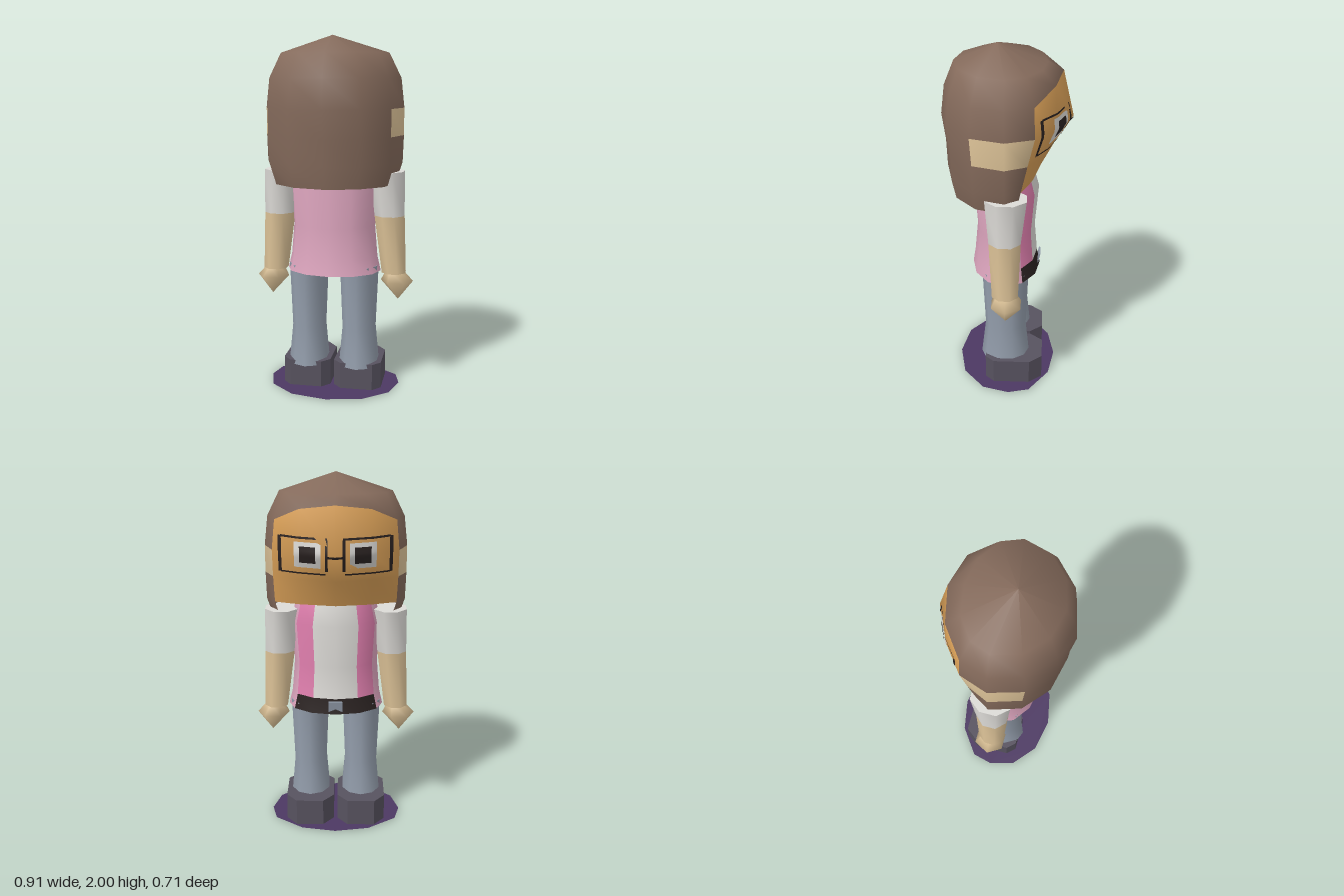
import * as THREE from 'three';

const mat = (name, color, side = THREE.FrontSide) => {
  const m = new THREE.MeshStandardMaterial({ color, side });
  m.name = name;
  return m;
};

// Ring: [y, radiusX, depthFront, depthBack, centreX, centreZ]; column 0 faces -z
const ringPoint = (n, turn = 0) => ([y, rx, zf, zb, cx = 0, cz = 0], j) => {
  const a = (j / n) * Math.PI * 2 + turn, c = Math.cos(a);
  return [cx + rx * Math.sin(a), y, cz - (c > 0 ? zf : zb) * c];
};

// Smooth skin over rings listed bottom to top; pick(row, column) gives a material index, -1 skips
function loft(name, rings, n, materials, { point = ringPoint(n), pick = () => 0, bottom = -1, top = -1 } = {}) {
  const pos = [], faces = materials.map(() => []);
  for (const r of rings) for (let j = 0; j < n; j++) pos.push(...point(r, j));
  for (let i = 0; i < rings.length - 1; i++) {
    for (let j = 0; j < n; j++) {
      const m = pick(i, j);
      if (m < 0) continue;
      const k = (j + 1) % n, a = i * n + j, b = i * n + k, c = b + n, d = a + n;
      faces[m].push(a, d, c, a, c, b);
    }
  }
  const cap = (ring, m, up) => {
    if (m < 0) return;
    const s = pos.length / 3;
    pos.push(ring[4] || 0, ring[0], ring[5] || 0);
    for (let j = 0; j < n; j++) pos.push(...point(ring, j));
    for (let j = 0; j < n; j++) {
      const p = s + 1 + j, q = s + 1 + ((j + 1) % n);
      faces[m].push(s, up ? q : p, up ? p : q);
    }
  };
  cap(rings[0], bottom, false);
  cap(rings[rings.length - 1], top, true);
  const g = new THREE.BufferGeometry();
  g.setAttribute('position', new THREE.Float32BufferAttribute(pos, 3));
  g.setIndex(faces.flat());
  let start = 0;
  faces.forEach((f, m) => { g.addGroup(start, f.length, m); start += f.length; });
  g.computeVertexNormals();
  const mesh = new THREE.Mesh(g, materials);
  mesh.name = name;
  return mesh;
}

export function createModel() {
  const model = new THREE.Group();
  model.name = 'figure';
  const hair = mat('brown hair', 0x846a5b, THREE.DoubleSide);
  const face = mat('tan face', 0xd89f57);
  const skin = mat('pale skin', 0xdcc297);
  const white = mat('white', 0xdcdad6);
  const palePink = mat('pale pink', 0xdda5be);
  const pink = mat('hot pink', 0xe07fae);
  const denim = mat('denim', 0x929caa);
  const shoe = mat('shoe grey', 0x57525f);
  const black = mat('black', 0x2b2322);
  const purple = mat('purple', 0x4c3862, THREE.DoubleSide);

  // Head: [y, radiusX, depthFront, depthBack, centreX, centreZ, depth at 30, depth at 60, front lift]
  const head = [
    [1.19, 0.345, 0.12, 0.31, 0, 0, 0.75, 0.5, 0],
    [1.31, 0.385, 0.18, 0.33, 0, 0, 0.78, 0.46, 0],
    [1.46, 0.39, 0.258, 0.335, 0, 0, 0.76, 0.45, 0],
    [1.61, 0.39, 0.352, 0.355, 0, 0, 0.74, 0.43, 0],
    [1.77, 0.372, 0.292, 0.335, 0, 0, 0.86, 0.5, 0.09],
    [1.905, 0.305, 0.21, 0.28, 0, 0, 0.866, 0.5, 0],
    [2.0, 0, 0, 0, 0, 0.05, 1, 1, 0],
  ];
  const base = ringPoint(12);
  const headPoint = (r, j) => {
    const p = base(r, j), c = Math.min(j, 12 - j);
    if (c < 3) p[2] = r[5] - r[2] * [1, r[6], r[7]][c];
    p[1] += r[8] * ([1, 0.75][c] || 0);
    return p;
  };
  const isFront = (j) => j < 2 || j > 9;
  model.add(loft('head', head, 12, [hair, face, skin], {
    point: headPoint,
    pick: (i, j) => {
      if (i === 0) return isFront(j) ? -1 : 0;
      if (i < 4 && isFront(j)) return 1;
      return i === 2 && [2, 3, 8, 9].includes(j) ? 2 : 0;
    },
  }));
  model.add(loft('chin', [head[1], head[1]], 12, [face], { point: headPoint, pick: () => -1, bottom: 0 }));

  // Depth of the face surface at (x, y)
  const faceZ = (x, y) => {
    const cols = [0, 1, 2].map((j) => {
      const pts = head.slice(1, 6).map((r) => headPoint(r, j));
      let i = 0;
      while (i < 3 && pts[i + 1][1] < y) i++;
      const t = (y - pts[i][1]) / (pts[i + 1][1] - pts[i][1]);
      return [0, 2].map((k) => pts[i][k] + t * (pts[i + 1][k] - pts[i][k]));
    });
    const ax = Math.abs(x), s = ax < cols[1][0] ? 0 : 1;
    const [p, q] = [cols[s], cols[s + 1]];
    return p[1] + ((ax - p[0]) / (q[0] - p[0])) * (q[1] - p[1]);
  };
  // Thin painted plate following the face
  const plate = (name, x0, x1, y0, y1, material, lift) => {
    const g = new THREE.PlaneGeometry(x1 - x0, y1 - y0, 8, 8);
    g.rotateY(Math.PI).translate((x0 + x1) / 2, (y0 + y1) / 2, 0);
    const p = g.attributes.position;
    for (let i = 0; i < p.count; i++) p.setZ(i, faceZ(p.getX(i), p.getY(i)) - lift);
    g.computeVertexNormals();
    const m = new THREE.Mesh(g, material);
    m.name = name;
    model.add(m);
  };
  const details = [
    ['eyeWhite', 0.075, 0.215, 1.535, 1.672, white, 0.006],
    ['pupil', 0.102, 0.187, 1.562, 1.65, black, 0.009],
    ['glassesTop', 0.04, 0.29, 1.688, 1.699, black, 0.007],
    ['glassesBottom', 0.05, 0.29, 1.497, 1.506, black, 0.007],
    ['glassesOuter', 0.285, 0.303, 1.5, 1.695, black, 0.007],
    ['glassesInner', 0.038, 0.052, 1.52, 1.69, black, 0.007],
  ];
  for (const [name, x0, x1, y0, y1, m, lift] of details) {
    plate(name, x0, x1, y0, y1, m, lift);
    plate(name, -x1, -x0, y0, y1, m, lift);
  }
  plate('glassesBridge', -0.04, 0.04, 1.595, 1.608, black, 0.007);

  // Striped shirt with a belt across the front
  const torso = [
    [0.685, 0.27, 0.19, 0.2],
    [0.77, 0.25, 0.172, 0.187],
    [0.95, 0.235, 0.157, 0.17],
    [1.19, 0.25, 0.177, 0.187],
    [1.32, 0.22, 0.14, 0.16],
  ];
  model.add(loft('shirt', torso, 12, [palePink, pink, white, black], {
    pick: (i, j) => (!isFront(j) ? 0 : i === 0 ? 3 : j === 0 || j === 11 ? 2 : 1),
    bottom: 0, top: 0,
  }));
  const buckle = new THREE.Mesh(new THREE.BoxGeometry(0.08, 0.065, 0.009), denim);
  buckle.name = 'buckle';
  buckle.position.set(0, 0.728, -0.182);
  buckle.rotation.x = -0.2;
  model.add(buckle);

  for (const s of [-1, 1]) {
    const side = s > 0 ? 'left' : 'right';

    // Arm: sleeve, forearm and pointed fist
    const arm = { point: ringPoint(8, Math.PI / 8), bottom: 0, top: 0 };
    const cuff = [1.01, 0.088, 0.093, 0.093, s * 0.317];
    model.add(loft(side + 'Sleeve', [cuff, [1.26, 0.1, 0.125, 0.115, s * 0.302]], 8, [white], arm));
    model.add(loft(side + 'Forearm', [[0.68, 0.071, 0.08, 0.075, s * 0.345], cuff], 8, [skin], arm));
    model.add(loft(side + 'Hand', [
      [0.52, 0, 0, 0, s * 0.37, -0.005],
      [0.63, 0.092, 0.098, 0.09, s * 0.363, -0.005],
      [0.69, 0.05, 0.055, 0.055, s * 0.35, -0.005],
    ], 6, [skin], { point: ringPoint(6, Math.PI / 6), top: 0 }));

    // Trouser leg
    model.add(loft(side + 'Leg', [
      [0.13, 0.117, 0.137, 0.147, s * 0.148],
      [0.35, 0.097, 0.115, 0.122, s * 0.147],
      [0.72, 0.112, 0.128, 0.138, s * 0.147],
    ], 10, [denim], { bottom: 0, top: 0 }));

    // Block shoe with cut corners
    const x = s * 0.148, w = 0.137, f = 0.215, b = -0.12;
    const outline = [[-w, b + 0.05], [-w + 0.045, b], [w - 0.045, b], [w, b + 0.05],
      [w, f - 0.075], [w - 0.06, f], [-w + 0.06, f], [-w, f - 0.075]];
    const g = new THREE.ExtrudeGeometry(
      new THREE.Shape(outline.map(([px, py]) => new THREE.Vector2(px + x, py))),
      { depth: 0.155, bevelEnabled: false });
    const foot = new THREE.Mesh(g.rotateX(-Math.PI / 2), shoe);
    foot.name = side + 'Shoe';
    model.add(foot);
  }

  // Flat dark disc on the ground
  const half = [[0, 0.29], [0.19, 0.255], [0.35, 0.14], [0.38, 0.02], [0.34, -0.13], [0.2, -0.25], [0, -0.29]];
  const rim = [...half, ...half.slice(1, -1).reverse().map(([x, y]) => [-x, y])];
  const disc = new THREE.Mesh(
    new THREE.ShapeGeometry(new THREE.Shape(rim.map(([x, y]) => new THREE.Vector2(x, y)))).rotateX(-Math.PI / 2), purple);
  disc.name = 'groundDisc';
  disc.position.y = 0.003;
  model.add(disc);

  return model;
}
